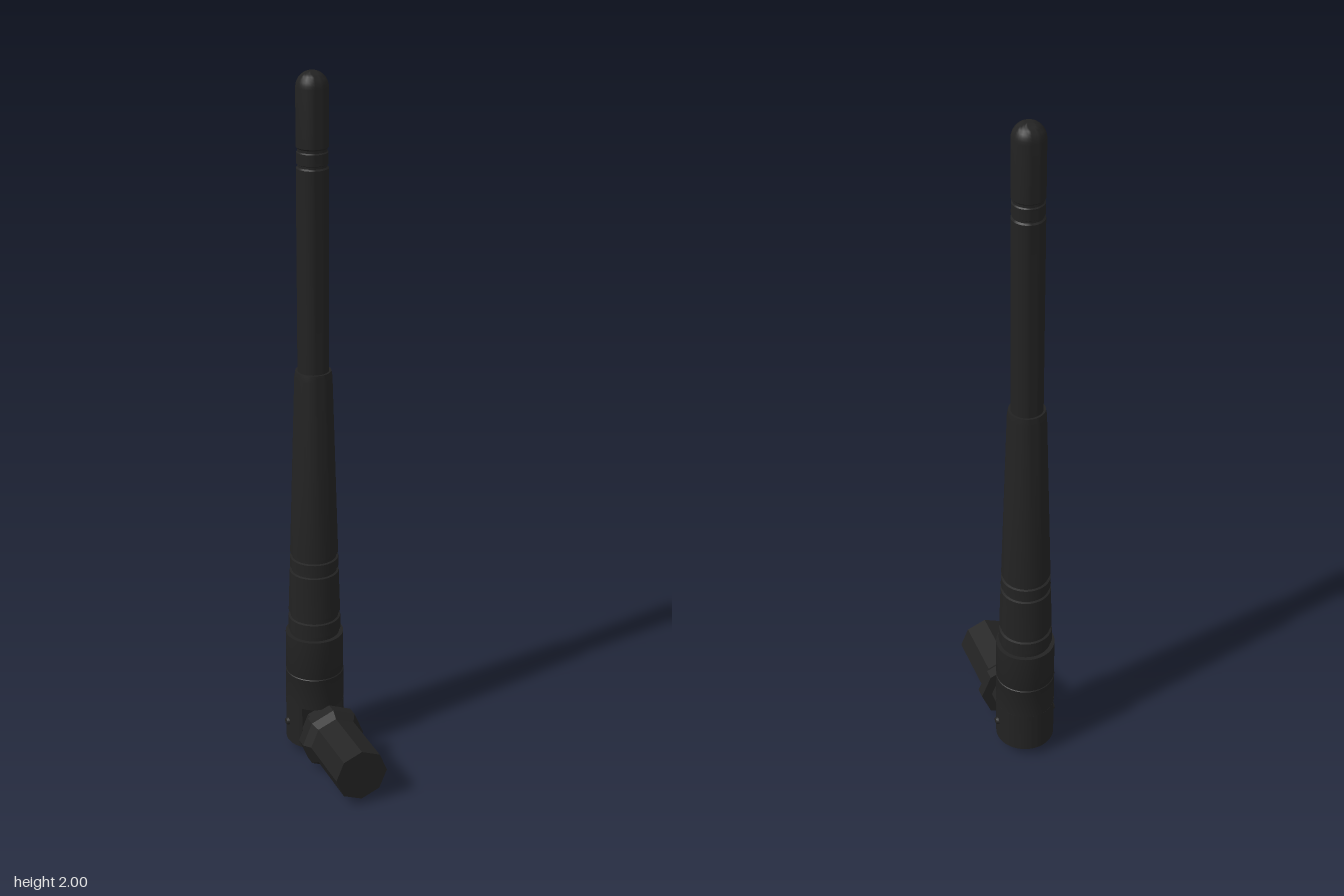
import * as THREE from 'three';
import { toCreasedNormals } from 'three/addons/utils/BufferGeometryUtils.js';

const AXIS_Z = -0.13;   // centre line of the mast
const PLUG_Y = 0.098;   // centre line of the connector

export function createModel() {
  const group = new THREE.Group();
  const black = new THREE.MeshStandardMaterial({ color: 0x222222 });
  black.name = 'black plastic';

  const add = (name, geometry, x, y, z) => {
    const mesh = new THREE.Mesh(geometry, black);
    mesh.name = name;
    mesh.position.set(x, y, z);
    group.add(mesh);
    return mesh;
  };
  // Turned part from [radius, height] pairs, bottom to top
  const turned = (profile, sides, crease = 0.6) => toCreasedNormals(
    new THREE.LatheGeometry(profile.map(([r, h]) => new THREE.Vector2(r, h)), sides), crease);

  // Hinge base: a disc with a flat front
  const r = 0.084, flat = 0.056, a = -Math.asin(flat / r);
  const outline = new THREE.Shape();
  outline.absarc(0, 0, r, a, Math.PI - a);
  outline.closePath();
  const base = new THREE.ExtrudeGeometry(outline, { depth: 0.13, bevelEnabled: false, curveSegments: 32 });
  base.rotateX(-Math.PI / 2);
  add('hingeBase', toCreasedNormals(base, 0.5), 0, 0.035, AXIS_Z);

  // Collar above the hinge, with a fine seam
  add('collar', turned([
    [0, 0.165], [r, 0.165], [r, 0.262], [0.082, 0.264], [0.083, 0.267], [0.083, 0.386], [0, 0.386],
  ], 36), 0, 0, AXIS_Z);

  // Tapered sleeve with ring grooves
  const sleeveRadius = (y) => 0.076 - (y - 0.386) * 0.0315;
  const sleeve = [[0, 0.38], [0.071, 0.38], [0.071, 0.4]];
  sleeve.push([sleeveRadius(0.4), 0.4]);
  for (const [low, high] of [[0.437, 0.455], [0.583, 0.598], [0.626, 0.641]]) {
    sleeve.push([sleeveRadius(low), low], [sleeveRadius(low) - 0.006, low + 0.002],
      [sleeveRadius(high) - 0.006, high - 0.002], [sleeveRadius(high), high]);
  }
  sleeve.push([0.052, 1.17], [0.049, 1.188], [0, 1.188]);
  add('sleeve', turned(sleeve, 36), 0, 0, AXIS_Z);

  // Slim whip with a grooved neck and a domed tip
  const whip = [
    [0, 1.18], [0.043, 1.18], [0.043, 1.748], [0.039, 1.752], [0.039, 1.758],
    [0.042, 1.76], [0.042, 1.79], [0.039, 1.793], [0.039, 1.8], [0.043, 1.804], [0.043, 1.957],
  ];
  for (let i = 1; i <= 8; i++) {
    const t = (i / 8) * Math.PI / 2;
    whip.push([i === 8 ? 0 : 0.043 * Math.cos(t), 1.957 + 0.043 * Math.sin(t)]);
  }
  add('whip', turned(whip, 32), 0, 0, AXIS_Z);

  // Hinge pin heads on both sides
  for (const side of [-1, 1]) {
    const pin = new THREE.CylinderGeometry(0.009, 0.014, 0.014, 16);
    pin.rotateZ(-side * Math.PI / 2);
    add(side > 0 ? 'leftPin' : 'rightPin', pin, side * 0.084, PLUG_Y, AXIS_Z);
  }

  // Eight-sided swivel arm, nut and barrel along z
  const arm = turned([[0, -0.1], [0.063, -0.1], [0.063, -0.02], [0, -0.02]], 8);
  const connector = turned([
    [0, -0.022], [0.094, -0.022], [0.094, 0.009], [0.077, 0.029], [0.077, 0.213], [0, 0.213],
  ], 8);
  for (const [name, geometry] of [['swivelArm', arm], ['connectorNut', connector]]) {
    geometry.rotateX(Math.PI / 2);
    add(name, geometry, 0, PLUG_Y, 0);
  }
  return group;
}
